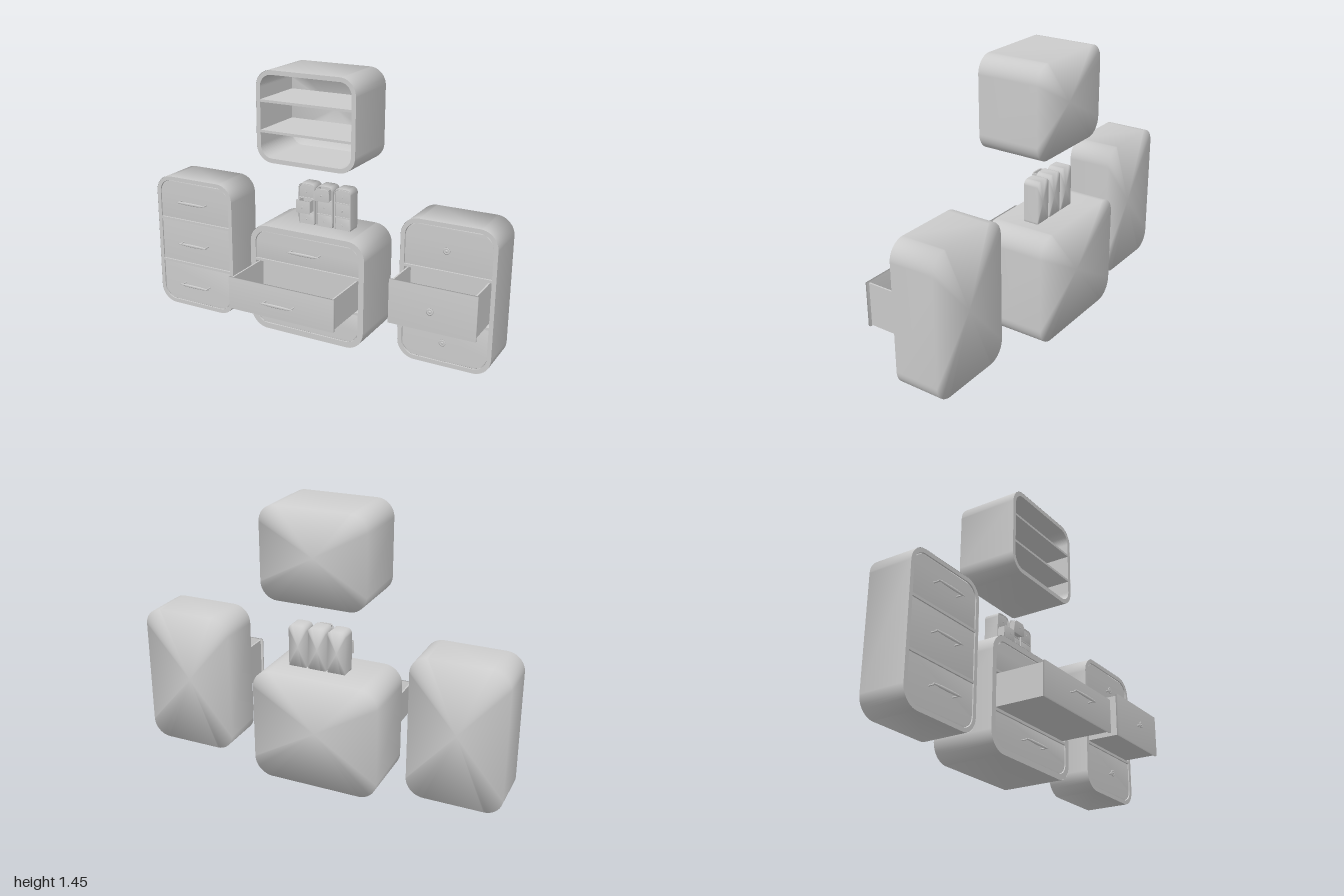
import * as THREE from 'three';
import { mergeVertices } from 'three/addons/utils/BufferGeometryUtils.js';

const grey = new THREE.MeshStandardMaterial({ color: 0xcccccc });
const greyThin = new THREE.MeshStandardMaterial({ color: 0xcccccc, side: THREE.DoubleSide });

function add(parent, name, geometry, x = 0, y = 0, z = 0, material = grey) {
  const mesh = new THREE.Mesh(geometry, material);
  mesh.name = name;
  mesh.position.set(x, y, z);
  parent.add(mesh);
  return mesh;
}

// Rectangle with separate bottom and top corner radii, counter-clockwise
function roundRect(x0, x1, y0, y1, rb, rt, Type = THREE.Shape) {
  const s = new Type();
  const corner = (x, y, r, a) => {
    if (r > 0) s.absarc(x, y, r, a, a + Math.PI / 2, false);
    else s.lineTo(x, y);
  };
  s.moveTo(x0 + rb, y0);
  corner(x1 - rb, y0 + rb, rb, -Math.PI / 2);
  corner(x1 - rt, y1 - rt, rt, 0);
  corner(x0 + rt, y1 - rt, rt, Math.PI / 2);
  corner(x0 + rb, y0 + rb, rb, Math.PI);
  s.closePath();
  return s;
}

// Share vertices so that the shading runs softly across edges
function soften(geometry) {
  geometry.deleteAttribute('normal');
  geometry.deleteAttribute('uv');
  const g = mergeVertices(geometry, 1e-4);
  g.computeVertexNormals();
  return g;
}

// Outer skin: sides plus closed back, open at the front
function shellGeometry(shape, cx, cy, zBack, zFront) {
  const loop = shape.getPoints(8);
  const n = loop.length;
  const pos = [];
  const index = [];
  for (const z of [zFront, zBack]) for (const p of loop) pos.push(p.x, p.y, z);
  pos.push(cx, cy, zBack);
  for (let i = 0; i < n; i++) {
    const j = (i + 1) % n;
    index.push(i, n + i, n + j, i, n + j, j, 2 * n, n + j, n + i);
  }
  const g = new THREE.BufferGeometry();
  g.setAttribute('position', new THREE.Float32BufferAttribute(pos, 3));
  g.setIndex(index);
  return soften(g);
}

// Slim bar on two posts
function addBarHandle(parent, x, y, z) {
  const bar = add(parent, 'handleBar', new THREE.SphereGeometry(1, 20, 10), x, y, z + 0.036);
  bar.scale.set(0.1, 0.008, 0.004);
  for (const side of [-1, 1]) {
    const post = add(parent, 'handlePost', new THREE.CylinderGeometry(0.004, 0.004, 0.036, 8),
      x + side * 0.083, y, z + 0.018);
    post.rotation.x = Math.PI / 2;
  }
}

// Round turned knob with a stepped face
function addKnob(parent, x, y, z, size) {
  const profile = [[0, 0], [0.3, 0], [0.25, 0.9], [1, 1.1], [1, 1.35], [0.7, 1.4], [0.6, 1.3], [0.35, 1.3], [0.25, 1.45], [0, 1.5]];
  const g = new THREE.LatheGeometry(profile.map(([r, h]) => new THREE.Vector2(r * size, h * size)), 16);
  add(parent, 'knob', g, x, y, z).rotation.x = Math.PI / 2;
}

// Thin-walled tray behind a pulled-out front, open at the top
function addTray(parent, x0, x1, y0, y1, zBack, zFront, t) {
  const w = x1 - x0, h = y1 - y0, d = zFront - zBack;
  const cx = (x0 + x1) / 2, cy = (y0 + y1) / 2, cz = (zBack + zFront) / 2;
  add(parent, 'drawerBottom', new THREE.BoxGeometry(w, t, d), cx, y0 + t / 2, cz);
  for (const s of [-1, 1]) {
    add(parent, 'drawerSide', new THREE.BoxGeometry(t, h, d), cx + s * (w - t) / 2, cy, cz);
  }
  add(parent, 'drawerBack', new THREE.BoxGeometry(w, h, t), cx, cy, zBack + t / 2);
}

// Rounded cabinet divided into rows, optionally filled with drawers
function cabinet({ name, x: [x0, x1], y: [y0, y1], z: [z0, z1], r, rim, gap, dividers, pull = {}, handle }) {
  const group = new THREE.Group();
  group.name = name;
  const cx = (x0 + x1) / 2;
  const outline = roundRect(x0, x1, y0, y1, r, r);
  add(group, 'shell', shellGeometry(outline, cx, (y0 + y1) / 2, z0, z1), 0, 0, 0, greyThin);

  // Row openings from bottom to top, rounded at the outer corners only
  const edges = [y0 + rim - gap / 2, ...dividers, y1 - rim + gap / 2];
  const rows = dividers.concat(0).map((_, i, all) => ({
    a: edges[i] + gap / 2,
    b: edges[i + 1] - gap / 2,
    rb: i === 0 ? r - rim : 0,
    rt: i === all.length - 1 ? r - rim : 0,
  }));

  // Rim and shelves
  const e = 0.0008;
  const frame = roundRect(x0 + e, x1 - e, y0 + e, y1 - e, r, r);
  for (const q of rows) frame.holes.push(roundRect(x0 + rim, x1 - rim, q.a, q.b, q.rb, q.rt, THREE.Path));
  const depth = (z1 - z0) * 0.95;
  add(group, 'frame', new THREE.ExtrudeGeometry(frame, { depth, bevelEnabled: false, curveSegments: 8 }), 0, 0, z1 - depth);

  if (!handle) return group;
  const small = handle === 'smallKnob';
  const t = small ? 0.006 : 0.012;
  const m = small ? 0.001 : 0.002;
  rows.forEach((q, i) => {
    const drawer = new THREE.Group();
    drawer.name = 'drawer';
    const out = pull[i] || 0;
    const zFace = z1 - (small ? 0.002 : 0.005) + out;
    const front = roundRect(x0 + rim + m, x1 - rim - m, q.a + m, q.b - m, q.rb, q.rt);
    const g = new THREE.ExtrudeGeometry(front, { depth: t, bevelEnabled: false, curveSegments: 8 });
    add(drawer, 'drawerFront', soften(g), 0, 0, zFace - t);
    if (out) {
      const inset = rim + t;
      addTray(drawer, x0 + inset, x1 - inset, q.a + t / 2, q.b - t / 2, z1 - (small ? 0.03 : 0.05), zFace - t, t * 0.7);
    }
    const cy = (q.a + q.b) / 2;
    if (handle === 'bar') addBarHandle(drawer, cx, cy, zFace);
    else addKnob(drawer, cx, cy, zFace, small ? 0.005 : 0.018);
    group.add(drawer);
  });
  return group;
}

export function createModel() {
  const model = new THREE.Group();
  model.name = 'drawerSet';

  // Tall side cabinets
  model.add(cabinet({
    name: 'rightTallCabinet', x: [-1, -0.5], y: [0.02, 0.785], z: [-0.225, 0.015],
    r: 0.095, rim: 0.023, gap: 0.014, dividers: [0.278, 0.533], handle: 'bar',
  }));
  model.add(cabinet({
    name: 'leftTallCabinet', x: [0.5, 1], y: [0.03, 0.79], z: [-0.225, 0.015],
    r: 0.095, rim: 0.023, gap: 0.014, dividers: [0.287, 0.535], handle: 'knob', pull: { 1: 0.187 },
  }));

  // Wide centre cabinet
  model.add(cabinet({
    name: 'centreCabinet', x: [-0.38, 0.305], y: [0, 0.6], z: [-0.32, 0.015],
    r: 0.1, rim: 0.032, gap: 0.014, dividers: [0.206, 0.4], handle: 'bar', pull: { 1: 0.275 },
  }));

  // Open shelf unit hanging above
  model.add(cabinet({
    name: 'shelfUnit', x: [-0.295, 0.27], y: [0.97, 1.45], z: [-0.27, 0.065],
    r: 0.09, rim: 0.024, gap: 0.013, dividers: [1.132, 1.29],
  }));

  // Three small towers on the centre cabinet
  [{ 1: 0.045 }, { 2: 0.032 }, {}].forEach((pull, i) => {
    const cx = (i - 1) * 0.107;
    model.add(cabinet({
      name: 'smallTower', x: [cx - 0.049, cx + 0.049], y: [0.585, 0.825], z: [-0.2, -0.12],
      r: 0.026, rim: 0.006, gap: 0.006, dividers: [0.668, 0.745], handle: 'smallKnob', pull,
    }));
  });
  return model;
}
